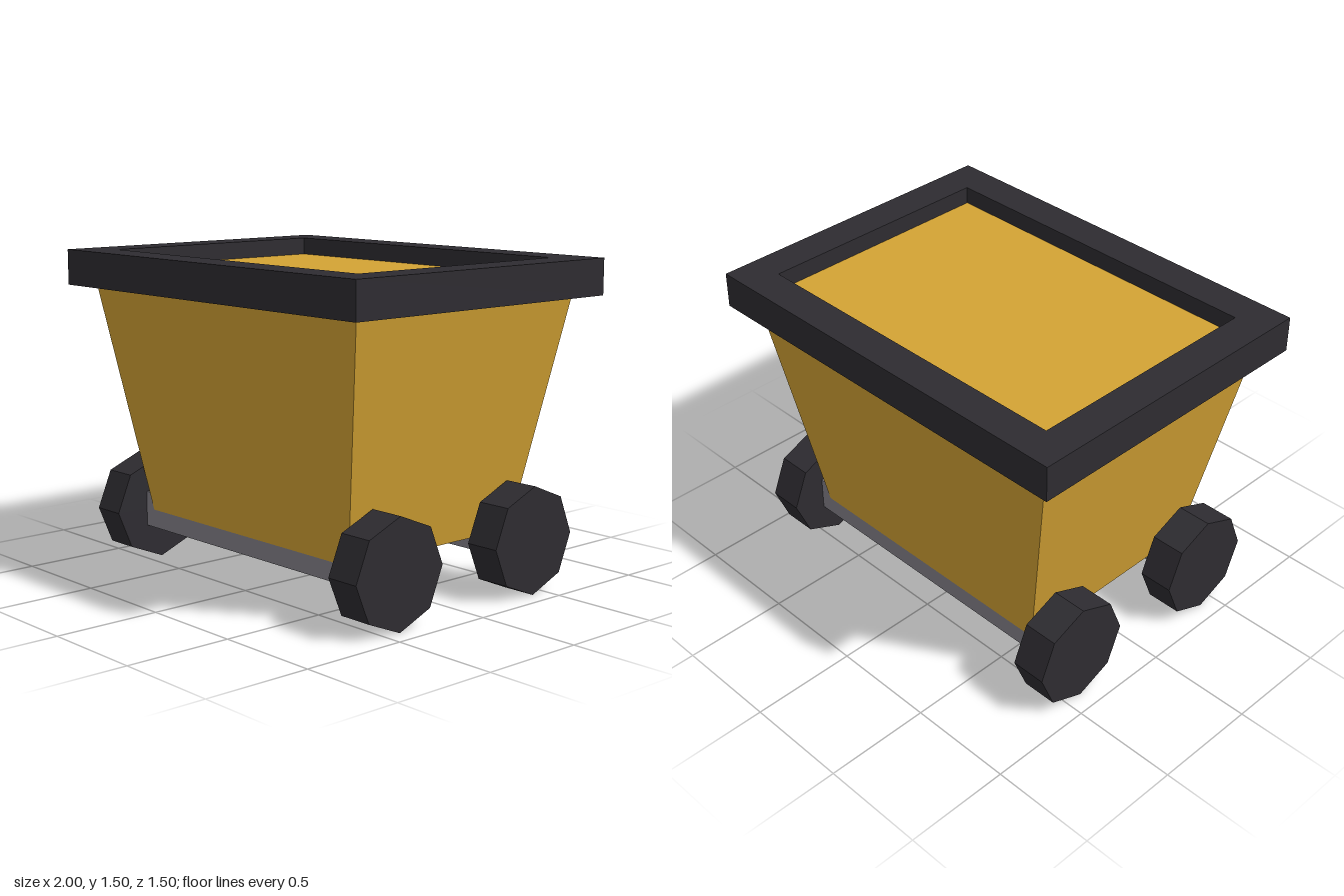
import * as THREE from 'three';

const paint = (color) => new THREE.MeshStandardMaterial({ color, flatShading: true });

export function createModel() {
  const cart = new THREE.Group();
  cart.name = 'mineCart';
  const yellow = paint(0xd4a334);
  const dark = paint(0x2e2c31);
  const metal = paint(0x84828a);

  const add = (name, geometry, material, x, y, z) => {
    const mesh = new THREE.Mesh(geometry, material);
    mesh.name = name;
    mesh.position.set(x, y, z);
    cart.add(mesh);
    return mesh;
  };

  // Tub: a box whose lower corners are drawn in
  const bottom = 0.25, top = 1.417;
  const tub = new THREE.BoxGeometry(1.834, top - bottom, 1.334);
  const p = tub.attributes.position;
  for (let i = 0; i < p.count; i++) {
    if (p.getY(i) < 0) {
      p.setX(i, Math.sign(p.getX(i)) * 0.69);
      p.setZ(i, Math.sign(p.getZ(i)) * 0.5);
    }
  }
  tub.computeVertexNormals();
  add('tub', tub, yellow, 0, (bottom + top) / 2, 0);

  // Rim: rectangular frame standing above the load
  const rectangle = (Type, x, z) => new Type([[-x, -z], [x, -z], [x, z], [-x, z]]
    .map(([a, b]) => new THREE.Vector2(a, b)));
  const frame = rectangle(THREE.Shape, 1, 0.75);
  frame.holes.push(rectangle(THREE.Path, 0.833, 0.583));
  const rim = new THREE.ExtrudeGeometry(frame, { depth: 0.167, bevelEnabled: false });
  rim.rotateX(-Math.PI / 2);
  add('rim', rim, dark, 0, 1.333, 0);

  // Square axles and eight-sided wheels, one corner pointing up
  const axle = new THREE.BoxGeometry(1.52, 0.167, 0.167);
  const wheel = new THREE.CylinderGeometry(0.25, 0.25, 0.167, 8).rotateZ(Math.PI / 2);
  for (const [end, z] of [['front', 0.417], ['back', -0.417]]) {
    add(`${end}Axle`, axle, metal, 0, 0.25, z);
    for (const [side, x] of [['Left', 0.833], ['Right', -0.833]]) {
      add(`${end}${side}Wheel`, wheel, dark, x, 0.25, z);
    }
  }
  return cart;
}
